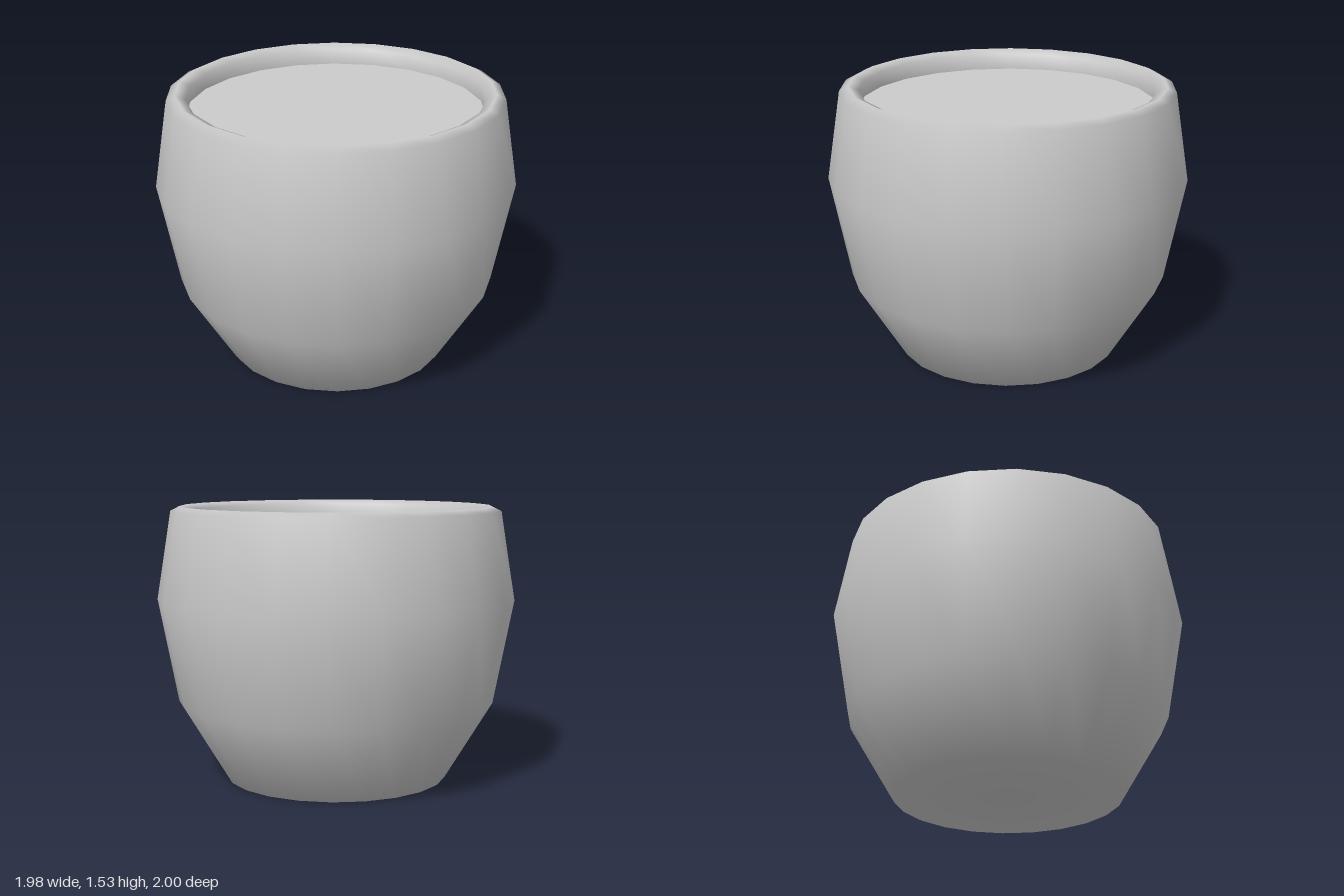
import * as THREE from 'three';

const SIDES = 22;

export function createModel() {
  const group = new THREE.Group();
  group.name = 'plantPot';
  const material = new THREE.MeshStandardMaterial({ color: 0xcccccc });

  // Pot shell: base centre, bulging wall, rounded rim, then the inner wall
  const profile = [
    [0, 0], [0.626, 0], [0.89, 0.44], [1, 1.02], [0.92, 1.51],
    [0.87, 1.535], [0.815, 1.51], [0.815, 1.42],
  ].map(([r, y]) => new THREE.Vector2(r, y));
  const pot = new THREE.Mesh(new THREE.LatheGeometry(profile, SIDES), material);
  pot.name = 'pot';
  group.add(pot);

  // Flat soil surface just below the rim, corners aligned with the wall
  const soilShape = new THREE.CircleGeometry(0.815, SIDES, Math.PI / 2);
  soilShape.rotateX(-Math.PI / 2);
  const soil = new THREE.Mesh(soilShape, material);
  soil.name = 'soil';
  soil.position.y = 1.42;
  group.add(soil);

  return group;
}
